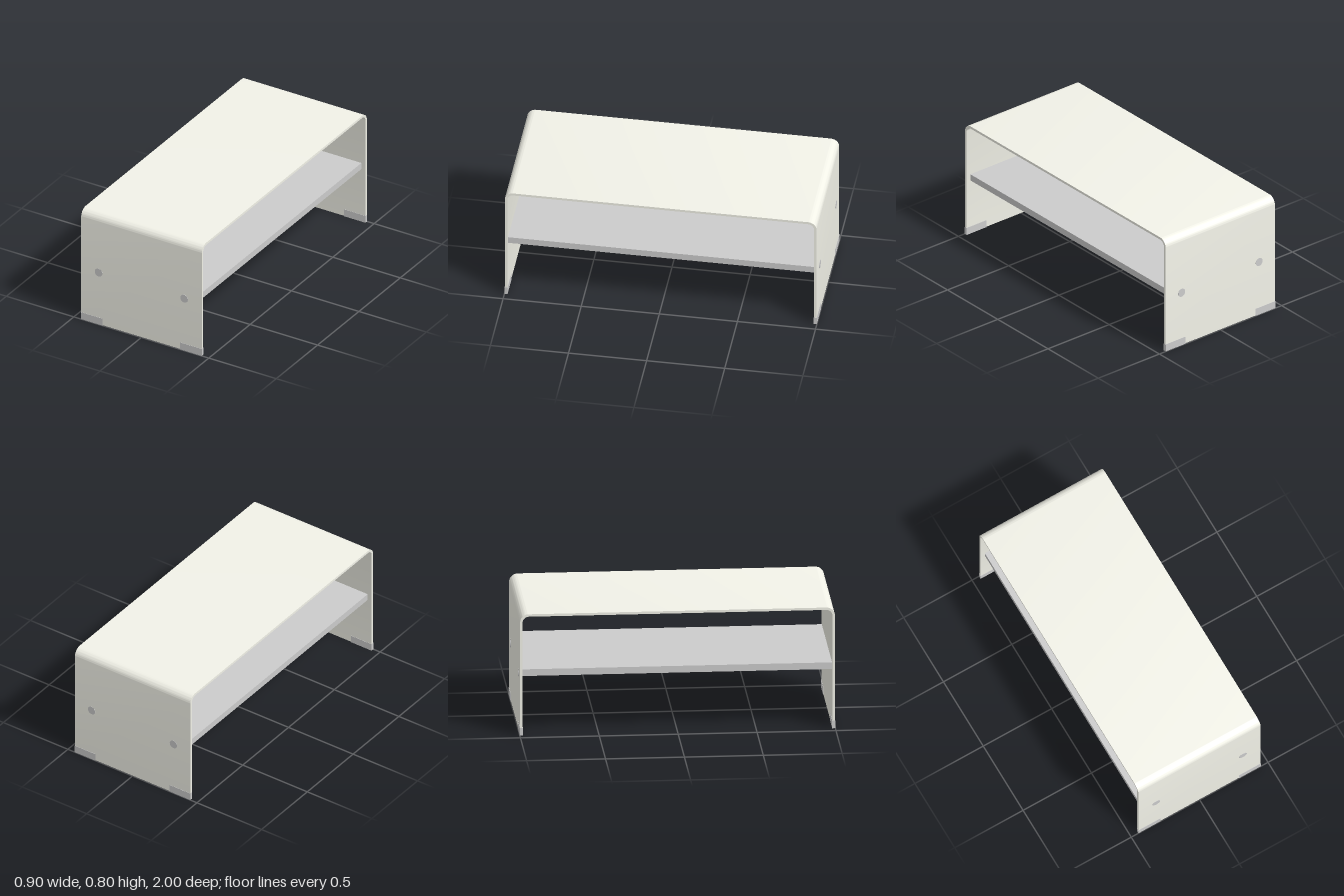
import * as THREE from 'three';
import { toCreasedNormals } from 'three/addons/utils/BufferGeometryUtils.js';

const grey = new THREE.MeshStandardMaterial({ color: 0xcccccc });
const ivory = new THREE.MeshStandardMaterial({ color: 0xf2f2e8 });

const WIDTH = 0.894, HEIGHT = 0.798, HALF_LENGTH = 0.998, THICKNESS = 0.016;

function addMesh(parent, name, geometry, material, x = 0, y = 0, z = 0) {
  const mesh = new THREE.Mesh(geometry, material);
  mesh.name = name;
  mesh.position.set(x, y, z);
  parent.add(mesh);
  return mesh;
}

// Bent sheet: two legs and a top joined by rounded corners
function shellGeometry() {
  const h = HALF_LENGTH, top = HEIGHT, t = THICKNESS, base = 0.002;
  const outer = 0.055, inner = outer - t;
  const s = new THREE.Shape();
  s.moveTo(-h, base);
  s.lineTo(-h, top - outer);
  s.absarc(-h + outer, top - outer, outer, Math.PI, Math.PI / 2, true);
  s.lineTo(h - outer, top);
  s.absarc(h - outer, top - outer, outer, Math.PI / 2, 0, true);
  s.lineTo(h, base);
  s.lineTo(h - t, base);
  s.lineTo(h - t, top - outer);
  s.absarc(h - outer, top - outer, inner, 0, Math.PI / 2, false);
  s.lineTo(-h + outer, top - t);
  s.absarc(-h + outer, top - outer, inner, Math.PI / 2, Math.PI, false);
  s.lineTo(-h + t, base);
  s.closePath();
  const g = new THREE.ExtrudeGeometry(s, { depth: WIDTH, bevelEnabled: false, curveSegments: 10 });
  g.translate(0, 0, -WIDTH / 2);
  g.rotateY(Math.PI / 2);
  return toCreasedNormals(g, Math.PI / 6);
}

export function createModel() {
  const model = new THREE.Group();
  model.name = 'benchWithShelf';

  addMesh(model, 'shell', shellGeometry(), ivory);

  // Shelf spans between the inner faces of the legs
  const shelfLength = 2 * (HALF_LENGTH - THICKNESS);
  addMesh(model, 'shelf', new THREE.BoxGeometry(0.834, 0.044, shelfLength), grey, 0, 0.404, 0);

  // Foot pads and shelf fixing caps, two on each leg
  const footGeometry = new THREE.BoxGeometry(0.16, 0.05, 0.02);
  const capGeometry = new THREE.CylinderGeometry(0.028, 0.028, 0.012, 32).rotateX(Math.PI / 2);
  for (const end of [1, -1]) {
    for (const side of [1, -1]) {
      const label = (end > 0 ? 'front' : 'back') + (side > 0 ? 'Left' : 'Right');
      addMesh(model, label + 'Foot', footGeometry, grey, side * 0.368, 0.025, end * 0.99);
      addMesh(model, label + 'FixingCap', capGeometry, grey, side * 0.317, 0.378, end * 0.994);
    }
  }
  return model;
}
